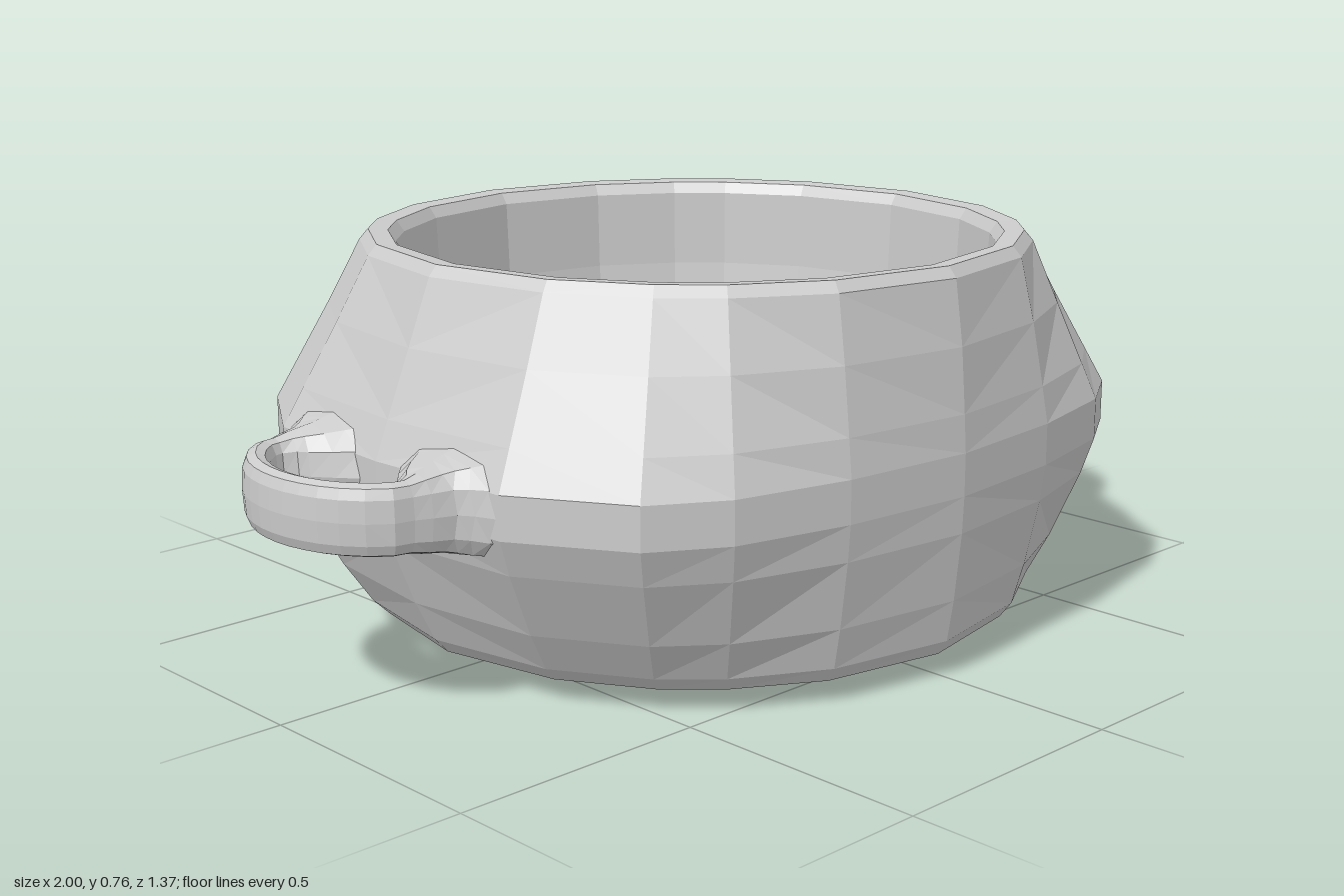
import * as THREE from 'three';

const material = new THREE.MeshStandardMaterial({ color: 0xcccccc, flatShading: true });

// Skin a list of closed rings; point(i, j) gives vertex j of ring i.
// Each quad is split along its shorter diagonal.
function skin(rings, sides, point) {
  const points = [], index = [];
  for (let i = 0; i < rings; i++) {
    for (let j = 0; j < sides; j++) points.push(new THREE.Vector3(...point(i, j)));
  }
  for (let i = 0; i < rings - 1; i++) {
    for (let j = 0; j < sides; j++) {
      const a = i * sides + j, b = i * sides + (j + 1) % sides;
      const c = a + sides, d = b + sides;
      if (points[b].distanceTo(points[c]) < points[a].distanceTo(points[d])) index.push(a, c, b, b, c, d);
      else index.push(a, c, d, a, d, b);
    }
  }
  const geometry = new THREE.BufferGeometry().setFromPoints(points);
  geometry.setIndex(index);
  geometry.computeVertexNormals();
  return geometry;
}

// Hollow bowl: rings run from the inner floor, over the rim and down to the base
function createBowl() {
  // [radius, height, amount of sideways bulge]
  const profile = [
    [0, 0.06, 0], [0.22, 0.07, 0], [0.41, 0.12, 0], [0.5, 0.22, 0], [0.55, 0.4, 0],
    [0.575, 0.58, 0], [0.582, 0.735, 0], [0.597, 0.757, 0], [0.635, 0.76, 0], [0.652, 0.74, 0],
    [0.67, 0.62, 0.33], [0.68, 0.5, 0.75], [0.685, 0.43, 1], [0.685, 0.35, 1], [0.682, 0.28, 0.8],
    [0.668, 0.15, 0.38], [0.655, 0.07, 0.08], [0.635, 0.04, 0], [0.57, 0.018, 0],
    [0.3, 0.003, 0], [0, 0, 0],
  ];
  // One quarter from front to side, [degrees, bulge], mirrored into the others
  const quarter = [[0, 0], [22.5, 0.028], [39.5, 0.1], [50.5, 0.138], [67.5, 0.138], [90, 0.095]];
  const half = [...quarter, ...quarter.slice(0, -1).reverse().map(([deg, b]) => [180 - deg, b])];
  const around = [...half, ...half.slice(1, -1).map(([deg, b]) => [180 + deg, b])];
  return skin(profile.length, around.length, (i, j) => {
    const [radius, y, amount] = profile[i];
    const [degrees, bulge] = around[j];
    const angle = THREE.MathUtils.degToRad(degrees);
    const r = radius + amount * bulge;
    return [r * Math.sin(angle), y, r * Math.cos(angle)];
  });
}

// Loop handle: a rounded section swept along an arc, widening into webs at the bowl
function createHandle() {
  const half = [[0.74, 0.175], [0.79, 0.178], [0.835, 0.19], [0.885, 0.187], [0.94, 0.13], [0.967, 0.065]];
  const path = [...half, [0.975, 0], ...half.slice().reverse().map(([x, z]) => [x, -z])];
  const curve = new THREE.CatmullRomCurve3(path.map(([x, z]) => new THREE.Vector3(x, 0.387, z)));
  const rings = 25, sides = 12;
  return skin(rings, sides, (i, j) => {
    const t = i / (rings - 1);
    const p = curve.getPoint(t), tangent = curve.getTangent(t);
    const flare = Math.max(0, (0.86 - p.x) / 0.12);
    const width = 0.026 + 0.15 * Math.pow(flare, 1.5), height = 0.064 + 0.03 * flare;
    const round = (v) => Math.sign(v) * Math.pow(Math.abs(v), 0.7 + 0.3 * Math.min(1, flare));
    const angle = (j / sides) * Math.PI * 2;
    const across = width * round(Math.cos(angle));
    return [p.x - tangent.z * across, p.y + height * round(Math.sin(angle)), p.z + tangent.x * across];
  });
}

export function createModel() {
  const group = new THREE.Group();
  group.name = 'twoHandledBowl';

  const bowl = new THREE.Mesh(createBowl(), material);
  bowl.name = 'bowl';
  group.add(bowl);

  // One handle on each side
  const handleGeometry = createHandle();
  for (const [name, turn] of [['leftHandle', 0], ['rightHandle', Math.PI]]) {
    const handle = new THREE.Mesh(handleGeometry, material);
    handle.name = name;
    handle.rotation.y = turn;
    group.add(handle);
  }
  return group;
}
